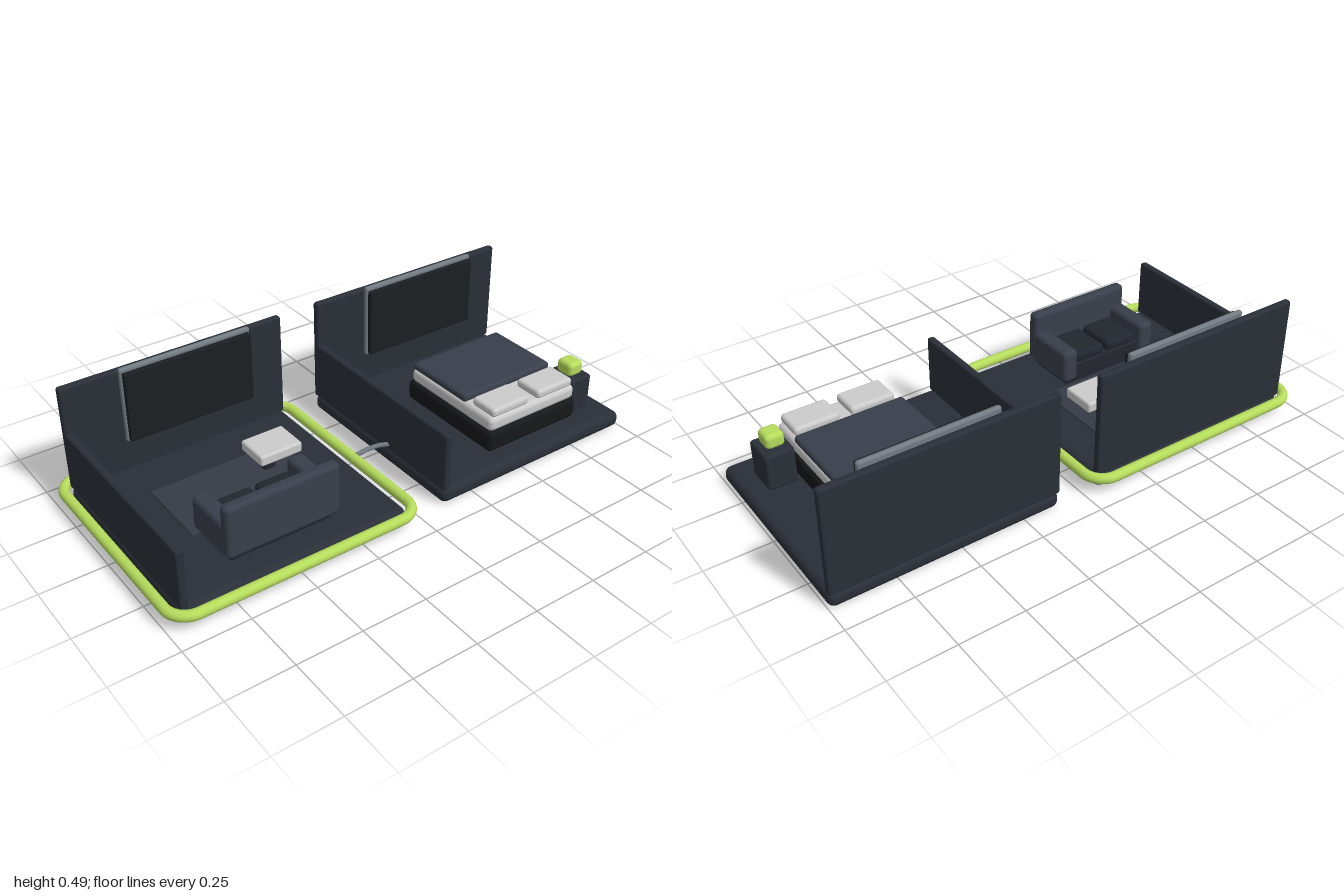
import * as THREE from 'three';
import { RoundedBoxGeometry } from 'three/addons/geometries/RoundedBoxGeometry.js';

const mat = (color) => new THREE.MeshStandardMaterial({ color });
const slate = mat(0x2a2f38), seatDark = mat(0x22262e), fabric = mat(0x393f4b), rugGrey = mat(0x353b45),
  screenBlack = mat(0x1b1f23), frameGrey = mat(0x727a82), black = mat(0x17181a),
  white = mat(0xe2e2e4), lime = mat(0xb5dc5c);

// Rounded block given by its [min, max] range on each axis
function block(parent, name, material, [x0, x1], [y0, y1], [z0, z1], radius = 0.01) {
  const geometry = new RoundedBoxGeometry(x1 - x0, y1 - y0, z1 - z0, 4, radius);
  const mesh = new THREE.Mesh(geometry, material);
  mesh.name = name;
  mesh.position.set((x0 + x1) / 2, (y0 + y1) / 2, (z0 + z1) / 2);
  parent.add(mesh);
  return mesh;
}

// Floor slab, two walls and a wall screen, centred on its own x = 0
function createRoom(name, x) {
  const room = new THREE.Group();
  room.name = name;
  room.position.x = x;
  block(room, 'floor', slate, [-0.445, 0.445], [0, 0.065], [-0.405, 0.405], 0.028);
  block(room, 'backWall', slate, [-0.445, 0.445], [0.06, 0.475], [-0.405, -0.375]);
  block(room, 'sideWall', slate, [-0.445, -0.415], [0.06, 0.295], [-0.4, 0.405]);
  block(room, 'screenFrame', frameGrey, [-0.23, 0.295], [0.19, 0.49], [-0.372, -0.35]);
  block(room, 'screen', screenBlack, [-0.222, 0.287], [0.2, 0.475], [-0.353, -0.331], 0.004);
  return room;
}

function addLounge(room) {
  block(room, 'rug', rugGrey, [-0.235, 0.295], [0.06, 0.072], [-0.195, 0.105], 0.004);
  block(room, 'tableTop', white, [0.12, 0.295], [0.125, 0.168], [-0.16, -0.02]);
  block(room, 'tableFoot', seatDark, [0.16, 0.21], [0.065, 0.13], [-0.115, -0.065]);

  const sofa = new THREE.Group();
  sofa.name = 'sofa';
  sofa.position.x = -0.003;
  block(sofa, 'sofaBase', seatDark, [-0.2, 0.2], [0.07, 0.15], [0.11, 0.3]);
  block(sofa, 'sofaBack', fabric, [-0.222, 0.222], [0.1, 0.305], [0.28, 0.328], 0.018);
  for (const side of [-1, 1]) {
    const arm = block(sofa, 'sofaArm', fabric, [-0.034, 0.034], [0.09, 0.225], [0.09, 0.3], 0.02);
    arm.position.x = side * 0.187;
    const cushion = block(sofa, 'seatCushion', seatDark, [-0.07, 0.07], [0.145, 0.19], [0.113, 0.28], 0.018);
    cushion.position.x = side * 0.077;
  }
  // The sofa sits left of the room's middle
  sofa.position.x = -0.003;
  room.add(sofa);
}

function addBedroom(room) {
  const bed = new THREE.Group();
  bed.name = 'bed';
  bed.position.x = 0.041;
  block(bed, 'bedBase', black, [-0.218, 0.218], [0.078, 0.163], [-0.147, 0.338], 0.02);
  block(bed, 'mattress', white, [-0.212, 0.212], [0.16, 0.22], [-0.134, 0.331], 0.022);
  block(bed, 'blanket', fabric, [-0.215, 0.215], [0.218, 0.25], [-0.123, 0.185], 0.014);
  for (const side of [-1, 1]) {
    const pillow = block(bed, 'pillow', white, [-0.088, 0.088], [0.217, 0.253], [0.205, 0.326], 0.014);
    pillow.position.x = side * 0.11;
  }
  room.add(bed);
  block(room, 'nightstand', slate, [0.26, 0.372], [0.064, 0.21], [0.17, 0.3], 0.012);
  block(room, 'lamp', lime, [0.278, 0.35], [0.209, 0.267], [0.198, 0.275], 0.018);
}

// Rounded rectangle path in the floor plane
function ringPath(halfX, halfZ, r) {
  const path = new THREE.CurvePath();
  const v = (x, z) => new THREE.Vector3(x, 0, z);
  const corners = [[1, 1], [-1, 1], [-1, -1], [1, -1]];
  corners.forEach(([sx, sz], i) => {
    const c = v(sx * halfX, sz * halfZ);
    const alongX = v(sx * (halfX - r), sz * halfZ), alongZ = v(sx * halfX, sz * (halfZ - r));
    const [start, end] = i % 2 ? [alongX, alongZ] : [alongZ, alongX];
    // Control points pulled towards the corner give a near circular bend
    path.add(new THREE.CubicBezierCurve3(start, start.clone().lerp(c, 0.55), end.clone().lerp(c, 0.55), end));
    const [nx, nz] = corners[(i + 1) % 4];
    const next = i % 2 ? v(nx * halfX, nz * (halfZ - r)) : v(nx * (halfX - r), nz * halfZ);
    path.add(new THREE.LineCurve3(end, next));
  });
  return path;
}

export function createModel() {
  const model = new THREE.Group();
  model.name = 'twinRooms';

  const lounge = createRoom('lounge', -0.5);
  addLounge(lounge);
  const bedroom = createRoom('bedroom', 0.553);
  addBedroom(bedroom);
  model.add(lounge, bedroom);

  // Lime tube around the lounge floor
  const ring = new THREE.Mesh(
    new THREE.TubeGeometry(ringPath(0.477, 0.44, 0.08), 240, 0.02, 14, true), lime);
  ring.name = 'floorRing';
  ring.position.set(-0.503, 0.06, 0);
  model.add(ring);

  // Cable joining the two rooms
  const cablePath = new THREE.CatmullRomCurve3([
    new THREE.Vector3(-0.02, 0.068, 0.046), new THREE.Vector3(0.04, 0.078, 0.05),
    new THREE.Vector3(0.085, 0.083, 0.062), new THREE.Vector3(0.115, 0.085, 0.08)]);
  const cable = new THREE.Mesh(new THREE.TubeGeometry(cablePath, 24, 0.009, 10), frameGrey);
  cable.name = 'cable';
  model.add(cable);

  return model;
}
